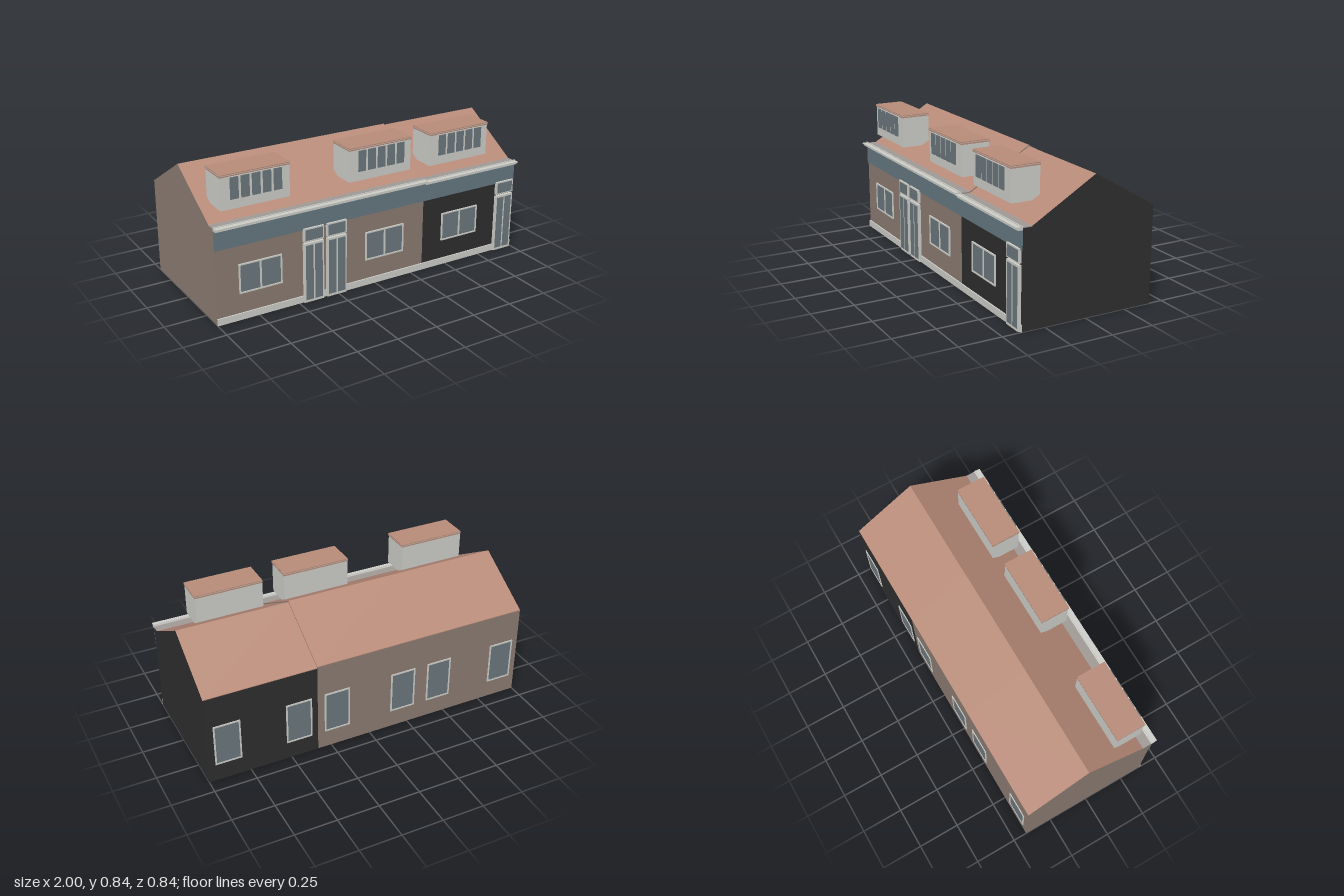
import * as THREE from 'three';

const mat = (name, color, side = THREE.FrontSide) => {
  const m = new THREE.MeshStandardMaterial({ color, side });
  m.name = name;
  return m;
};

export function createModel() {
  const brick = mat('brown brick', 0x8b7b72);
  const black = mat('black render', 0x2e2e2e);
  const tile = mat('terracotta roof', 0xb88b79);
  const trim = mat('pale grey trim', 0xcdcec8);
  const glass = mat('slate glass', 0x6b777d);
  const slate = mat('slate fascia', 0x657780);
  const lead = mat('grey lead', 0xa09a97);

  const model = new THREE.Group();
  model.name = 'terraceRow';

  // Box given by its limits on each axis
  const box = (parent, name, m, x0, x1, y0, y1, z0, z1) => {
    const mesh = new THREE.Mesh(new THREE.BoxGeometry(x1 - x0, y1 - y0, z1 - z0), m);
    mesh.position.set((x0 + x1) / 2, (y0 + y1) / 2, (z0 + z1) / 2);
    mesh.name = name;
    parent.add(mesh);
    return mesh;
  };

  // Outline of [z, y] points extruded along x
  const prism = (parent, name, m, points, x0, x1) => {
    const shape = new THREE.Shape(points.map(([z, y]) => new THREE.Vector2(-z, y)));
    const geo = new THREE.ExtrudeGeometry(shape, { depth: x1 - x0, bevelEnabled: false });
    const mesh = new THREE.Mesh(geo.rotateY(Math.PI / 2), m);
    mesh.position.x = x0;
    mesh.name = name;
    parent.add(mesh);
    return mesh;
  };

  // Rectangular frame facing +z, with an opening
  const frame = (parent, name, x0, x1, y0, y1, z0, z1, t) => {
    const shape = new THREE.Shape([
      new THREE.Vector2(x0, y0), new THREE.Vector2(x1, y0),
      new THREE.Vector2(x1, y1), new THREE.Vector2(x0, y1)]);
    shape.holes.push(new THREE.Path([
      new THREE.Vector2(x0 + t, y0 + t), new THREE.Vector2(x0 + t, y1 - t),
      new THREE.Vector2(x1 - t, y1 - t), new THREE.Vector2(x1 - t, y0 + t)]));
    const mesh = new THREE.Mesh(
      new THREE.ExtrudeGeometry(shape, { depth: z1 - z0, bevelEnabled: false }), trim);
    mesh.position.z = z0;
    mesh.name = name;
    parent.add(mesh);
  };

  const FRONT = 0.385, BACK = -0.417, RIDGE = -0.045, EAVE = 0.33;

  const addHouse = (name, x0, x1, wall, drop, doorX, windowX, dormerX, backX) => {
    const g = new THREE.Group();
    g.name = name;
    model.add(g);
    const eaveY = 0.57 - drop, ridgeY = 0.788 - drop, t = 0.004;

    // Walls with gable, and the roof covering
    prism(g, 'walls', wall, [[FRONT, 0], [BACK, 0], [BACK, eaveY - t], [RIDGE, ridgeY - t],
      [EAVE, eaveY - t], [FRONT, eaveY - t]], x0, x1);
    prism(g, 'roof', [wall, tile], [[BACK, eaveY - t], [BACK, eaveY], [RIDGE, ridgeY + 0.002],
      [EAVE, eaveY], [EAVE, eaveY - t], [RIDGE, ridgeY - t]], x0, x1);
    box(g, 'flatEave', lead, x0, x1, eaveY - t, eaveY, FRONT, EAVE + 0.0001).scale.z = -1;
    g.remove(g.children.pop());
    box(g, 'flatEave', lead, x0, x1, eaveY - t, eaveY, EAVE, FRONT);

    // Front fascia, gutter and plinth
    box(g, 'fascia', slate, x0, x1, 0.44, eaveY - 0.014, FRONT, 0.391);
    box(g, 'gutter', trim, x0, x1, eaveY - 0.015, eaveY - 0.002, 0.383, 0.412);
    box(g, 'gutterLip', trim, x0, x1, eaveY - 0.003, eaveY + 0.004, 0.383, 0.422);
    box(g, 'gutterUpstand', trim, x0, x1, eaveY + 0.003, eaveY + 0.008, 0.39, 0.396);
    box(g, 'plinth', trim, x0, x1, 0, 0.04, FRONT, 0.393);

    // Front door: two tall panes with a transom light above
    const door = new THREE.Group();
    door.name = 'frontDoor';
    g.add(door);
    const dx = doorX + 0.126;
    box(door, 'doorLeaf', trim, doorX, dx, 0, 0.36, FRONT, 0.402);
    for (const px of [doorX + 0.01, doorX + 0.068])
      box(door, 'doorPane', glass, px, px + 0.048, 0.015, 0.348, 0.399, 0.403);
    box(door, 'transomFrame', trim, doorX, dx, 0.37, 0.45, FRONT, 0.402);
    box(door, 'transomPane', glass, doorX + 0.008, dx - 0.008, 0.378, 0.442, 0.399, 0.403);

    // Front window with a centre mullion
    const win = new THREE.Group();
    win.name = 'frontWindow';
    g.add(win);
    const wx = windowX + 0.26, mid = windowX + 0.13;
    frame(win, 'windowFrame', windowX, wx, 0.157, 0.332, FRONT - 0.002, 0.393, 0.008);
    box(win, 'windowPane', glass, windowX + 0.007, wx - 0.007, 0.164, 0.325, FRONT - 0.002, 0.388);
    box(win, 'mullion', trim, mid - 0.005, mid + 0.005, 0.164, 0.325, FRONT, 0.392);

    // Box dormer with five panes
    const dormer = new THREE.Group();
    dormer.name = 'dormer';
    dormer.position.y = -drop;
    g.add(dormer);
    const ex = dormerX + 0.414;
    box(dormer, 'dormerBox', trim, dormerX + 0.002, ex - 0.002, 0.642 - 0.006, 0.822, 0.171, 0.343);
    box(dormer, 'dormerRoofEdge', tile, dormerX, ex, 0.82, 0.828, 0.17, 0.346);
    box(dormer, 'dormerRoofTrim', trim, dormerX, ex, 0.828, 0.831, 0.17, 0.348);
    box(dormer, 'dormerRoof', tile, dormerX, ex, 0.831, 0.836, 0.17, 0.348);
    box(dormer, 'dormerWindowFrame', trim, dormerX + 0.05, dormerX + 0.364, 0.685, 0.82, 0.342, 0.352);
    for (let i = 0; i < 5; i++) {
      const px = dormerX + 0.055 + i * 0.064;
      box(dormer, 'dormerPane', glass, px, px + 0.048, 0.695, 0.818, 0.35, 0.358);
    }

    // Back windows
    for (const bx of backX) {
      const back = new THREE.Group();
      back.name = 'backWindow';
      back.rotation.y = Math.PI;
      back.position.x = bx;
      g.add(back);
      frame(back, 'windowFrame', -0.079, 0.079, 0.11, 0.37, 0.415, 0.422, 0.009);
      box(back, 'windowPane', glass, -0.071, 0.071, 0.118, 0.362, 0.415, 0.419);
    }
  };

  const third = 1 / 3;
  addHouse('leftmostHouse', -1, -third, brick, 0, -0.472, -0.864, -0.934, [-0.885, -0.453]);
  addHouse('middleHouse', -third, third, brick, 0, -0.325, -0.067, -0.15, [-0.213, 0.212]);
  addHouse('blackHouse', third, 1, black, 0.007, 0.863, 0.466, 0.397, [0.449, 0.878]);
  return model;
}
